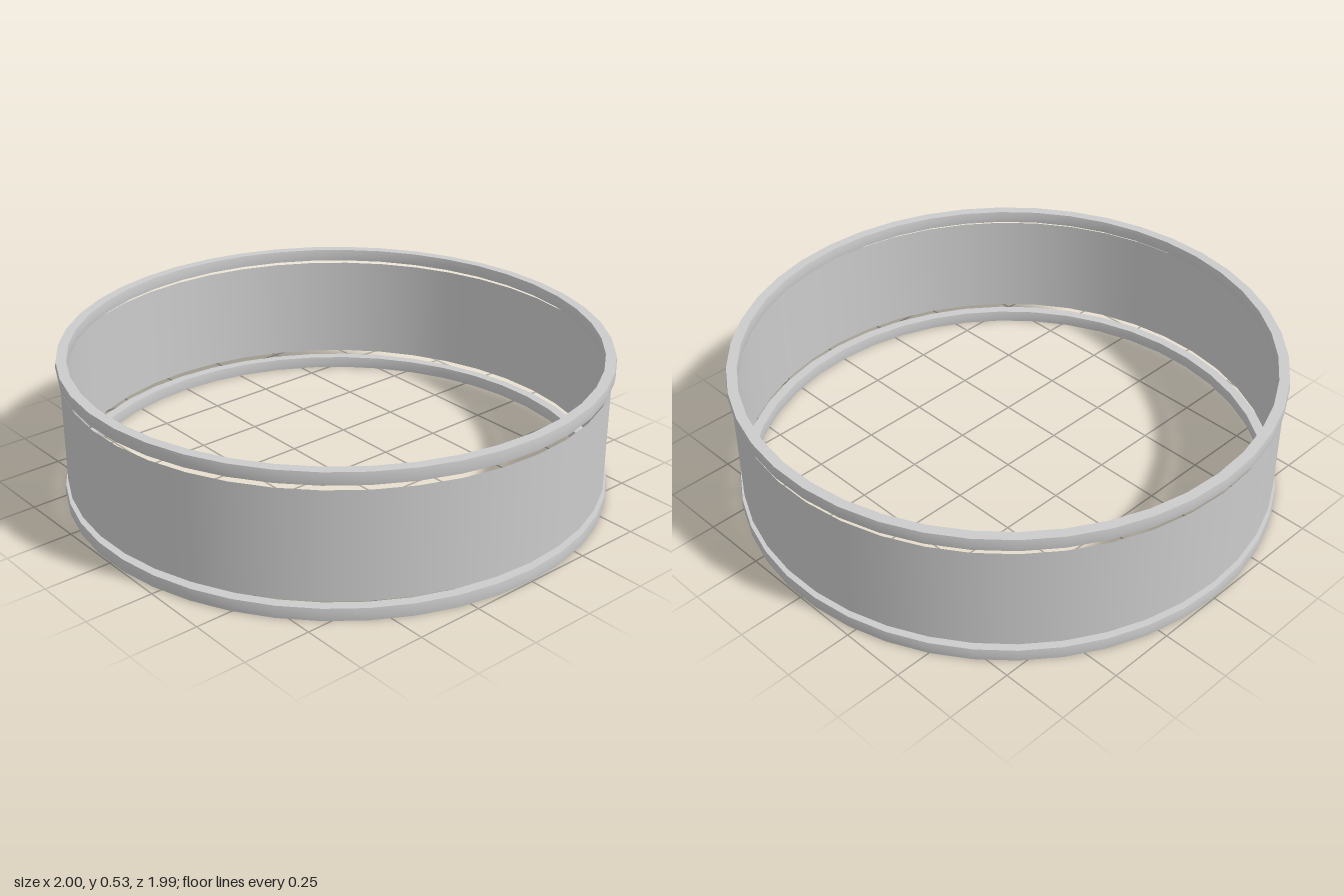
import * as THREE from 'three';

const SEGMENTS = 42;
const HEIGHT = 0.534;
const RIM = 0.046;

// Revolves [radius, y] points around y, with a vertex on the x axis
function revolve(name, points, material) {
  const profile = points.map(([r, y]) => new THREE.Vector2(r, y));
  const mesh = new THREE.Mesh(new THREE.LatheGeometry(profile, SEGMENTS, Math.PI / 2), material);
  mesh.name = name;
  return mesh;
}

export function createModel() {
  const group = new THREE.Group();
  group.name = 'hoop';
  const material = new THREE.MeshStandardMaterial({ color: 0xcccccc });
  const thin = new THREE.MeshStandardMaterial({ color: 0xcccccc, side: THREE.DoubleSide });

  // Rims: flat top and bottom, slightly bulging walls; repeated corners stay sharp
  const inner = 0.96, outer = 0.997, bulge = 0.003;
  const rim = [
    [outer, 0], [outer + bulge, RIM / 2], [outer, RIM],
    [outer, RIM], [inner, RIM],
    [inner, RIM], [inner - bulge, RIM / 2], [inner, 0],
    [inner, 0], [outer, 0],
  ];
  const lower = revolve('lowerRim', rim, material);
  const upper = revolve('upperRim', rim, material);
  upper.position.y = HEIGHT - RIM;

  // Thin open band floating between the rims
  const gap = 0.067;
  const band = revolve('band', [[0.988, gap], [0.988, HEIGHT - gap]], thin);

  group.add(lower, band, upper);
  return group;
}
